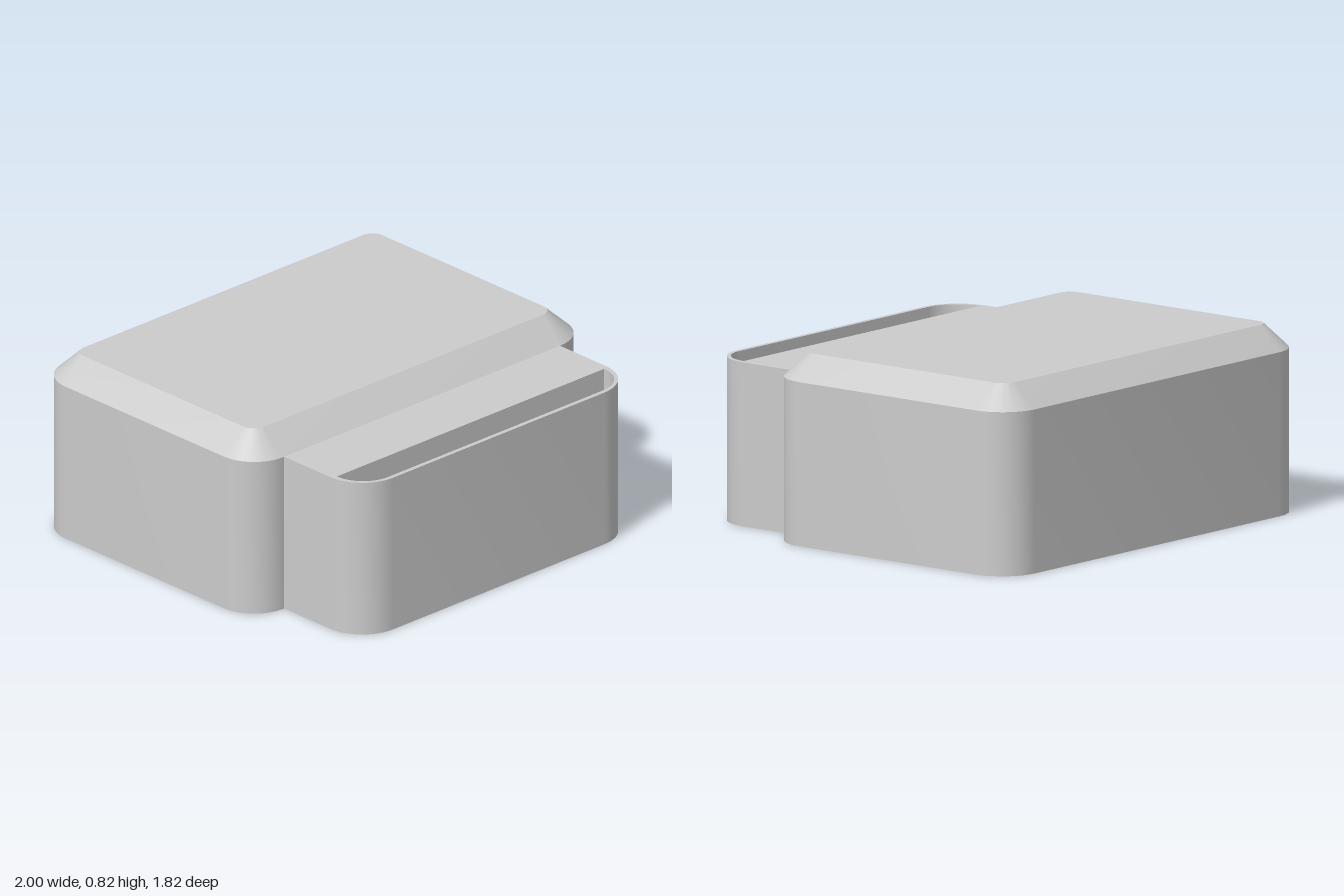
import * as THREE from 'three';
import { toCreasedNormals } from 'three/addons/utils/BufferGeometryUtils.js';

const BODY = { x: 1, back: -0.91, front: 0.43, r: 0.18 };
const TRAY = { x: 0.815, front: 0.905, r: 0.19 };
const SLOT = { x: 0.79, back: 0.73, front: 0.885, r: 0.155 };
const DECK = 0.715, TOP = 0.82, FLOOR = 0.02, STEPS = 12;

// Quarter arc of plan points (x, -z), counter-clockwise from the given quarter turn
function arc(cx, cz, r, quarter) {
  return Array.from({ length: STEPS + 1 }, (_, i) => {
    const a = (quarter + i / STEPS) * Math.PI / 2;
    return new THREE.Vector2(cx + r * Math.cos(a), -cz + r * Math.sin(a));
  });
}

function roundedRect(x, back, front, r) {
  return [
    ...arc(x - r, back + r, r, 0), ...arc(-x + r, back + r, r, 1),
    ...arc(-x + r, front - r, r, 2), ...arc(x - r, front - r, r, 3),
  ];
}

// Extrudes a plan shape upwards from y = 0
function extrudeUp(shape, height) {
  const g = new THREE.ExtrudeGeometry(shape, { depth: height, bevelEnabled: false });
  return toCreasedNormals(g.rotateX(-Math.PI / 2), 0.5);
}

// Sloped sides between two matching outlines, closed by a flat top
function chamferedLid(lower, upper, y0, y1, cz) {
  const pos = [];
  const add = (p, y) => pos.push(p.x, y, -p.y);
  const center = new THREE.Vector2(0, -cz);
  lower.forEach((a, i) => {
    const j = (i + 1) % lower.length;
    const b = lower[j], c = upper[j], d = upper[i];
    add(a, y0); add(b, y0); add(c, y1);
    add(a, y0); add(c, y1); add(d, y1);
    add(center, y1); add(d, y1); add(c, y1);
  });
  const g = new THREE.BufferGeometry();
  g.setAttribute('position', new THREE.Float32BufferAttribute(pos, 3));
  return toCreasedNormals(g, 0.5);
}

export function createModel() {
  const group = new THREE.Group();
  const material = new THREE.MeshStandardMaterial({ color: 0xcccccc });
  const part = (name, geometry) => {
    const mesh = new THREE.Mesh(geometry, material);
    mesh.name = name;
    group.add(mesh);
  };

  // Body and the narrower front tray share one outline
  const { x, back, front, r } = BODY;
  const outline = new THREE.Shape([
    ...arc(x - r, back + r, r, 0), ...arc(-x + r, back + r, r, 1),
    ...arc(-x + r, front - r, r, 2),
    new THREE.Vector2(-TRAY.x, -front),
    ...arc(-TRAY.x + TRAY.r, TRAY.front - TRAY.r, TRAY.r, 2),
    ...arc(TRAY.x - TRAY.r, TRAY.front - TRAY.r, TRAY.r, 3),
    new THREE.Vector2(TRAY.x, -front),
    ...arc(x - r, front - r, r, 3),
  ]);

  // Slot behind the thin front wall of the tray
  const slot = [
    ...arc(-SLOT.x + SLOT.r, SLOT.front - SLOT.r, SLOT.r, 2),
    ...arc(SLOT.x - SLOT.r, SLOT.front - SLOT.r, SLOT.r, 3),
  ];
  outline.holes.push(new THREE.Path(slot));
  part('body', extrudeUp(outline, DECK));
  part('slotFloor', extrudeUp(new THREE.Shape(slot), FLOOR));

  // Chamfered lid
  const lower = roundedRect(x, back, front, r);
  const upper = roundedRect(0.885, -0.8, 0.315, 0.06);
  part('lid', chamferedLid(lower, upper, DECK, TOP, (back + front) / 2));

  return group;
}
